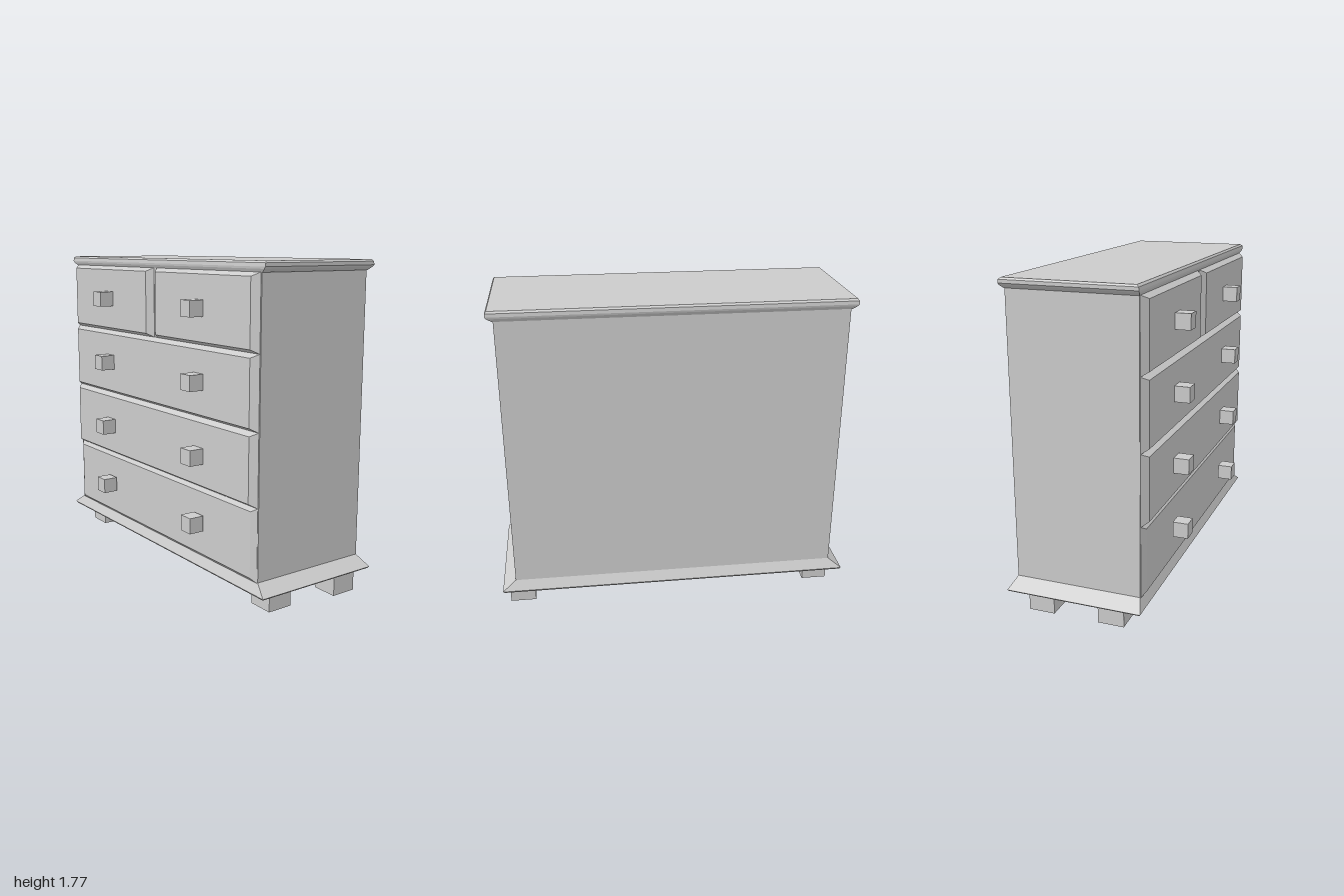
import * as THREE from 'three';

const material = new THREE.MeshStandardMaterial({ color: 0xcccccc, flatShading: true });

// Solid through rectangular sections stacked along y: [y, x0, x1, z0, z1]
function loft(sections) {
  const positions = [], index = [];
  for (const [y, x0, x1, z0, z1] of sections) {
    positions.push(x0, y, z1, x1, y, z1, x1, y, z0, x0, y, z0);
  }
  const quad = (a, b, c, d) => index.push(a, b, c, a, c, d);
  for (let s = 0; s < sections.length - 1; s++) {
    for (let i = 0; i < 4; i++) {
      const a = s * 4 + i, b = s * 4 + (i + 1) % 4;
      quad(a, b, b + 4, a + 4);
    }
  }
  const last = (sections.length - 1) * 4;
  quad(3, 2, 1, 0);
  quad(last, last + 1, last + 2, last + 3);
  const indexed = new THREE.BufferGeometry();
  indexed.setAttribute('position', new THREE.Float32BufferAttribute(positions, 3));
  indexed.setIndex(index);
  const geometry = indexed.toNonIndexed();
  geometry.computeVertexNormals();
  return geometry;
}

export function createModel() {
  const model = new THREE.Group();
  model.name = 'chestOfDrawers';

  function add(name, geometry, x = 0, y = 0, z = 0) {
    const mesh = new THREE.Mesh(geometry, material);
    mesh.name = name;
    mesh.position.set(x, y, z);
    model.add(mesh);
  }

  // Cabinet with a flared plinth
  add('cabinet', loft([
    [0.115, -0.325, 0.415, -0.99, 0.99],
    [0.125, -0.332, 0.42, -1, 1],
    [0.18, -0.305, 0.39, -0.925, 0.925],
    [1.725, -0.305, 0.39, -0.925, 0.925],
  ]));

  // Moulded top board
  add('topBoard', loft([
    [1.72, -0.307, 0.392, -0.93, 0.93],
    [1.737, -0.316, 0.402, -0.955, 0.955],
    [1.747, -0.318, 0.405, -0.963, 0.963],
    [1.765, -0.316, 0.403, -0.963, 0.963],
    [1.775, -0.305, 0.392, -0.955, 0.955],
  ]));

  // Bevelled drawer fronts, facing -x
  const bevelY = 0.02, bevelZ = 0.035;
  function drawer(y0, y1, z0, z1, front) {
    const geometry = loft([
      [0.3, y0, y1, z0, z1],
      [0.307, y0, y1, z0, z1],
      [front, y0 + bevelY, y1 - bevelY, z0 + bevelZ, z1 - bevelZ],
    ]);
    add('drawerFront', geometry.rotateZ(Math.PI / 2));
  }
  drawer(1.335, 1.722, -0.92, -0.015, 0.34);
  drawer(1.335, 1.722, 0.015, 0.92, 0.34);
  drawer(0.95, 1.335, -0.92, 0.92, 0.34);
  drawer(0.567, 0.95, -0.92, 0.92, 0.34);
  drawer(0.177, 0.567, -0.92, 0.92, 0.325);

  // Square knobs, two per row
  const knob = new THREE.BoxGeometry(0.086, 0.086, 0.086);
  for (const y of [1.53, 1.148, 0.752, 0.382]) {
    for (const z of [-0.465, 0.46]) add('knob', knob, -0.382, y, z);
  }

  // Block feet, set slightly unevenly
  const foot = new THREE.BoxGeometry(0.145, 0.12, 0.145);
  for (const [x, z] of [[0.262, 0.893], [-0.152, 0.85], [0.248, -0.868], [-0.148, -0.868]]) {
    add('foot', foot, x, 0.06, z);
  }

  return model;
}
